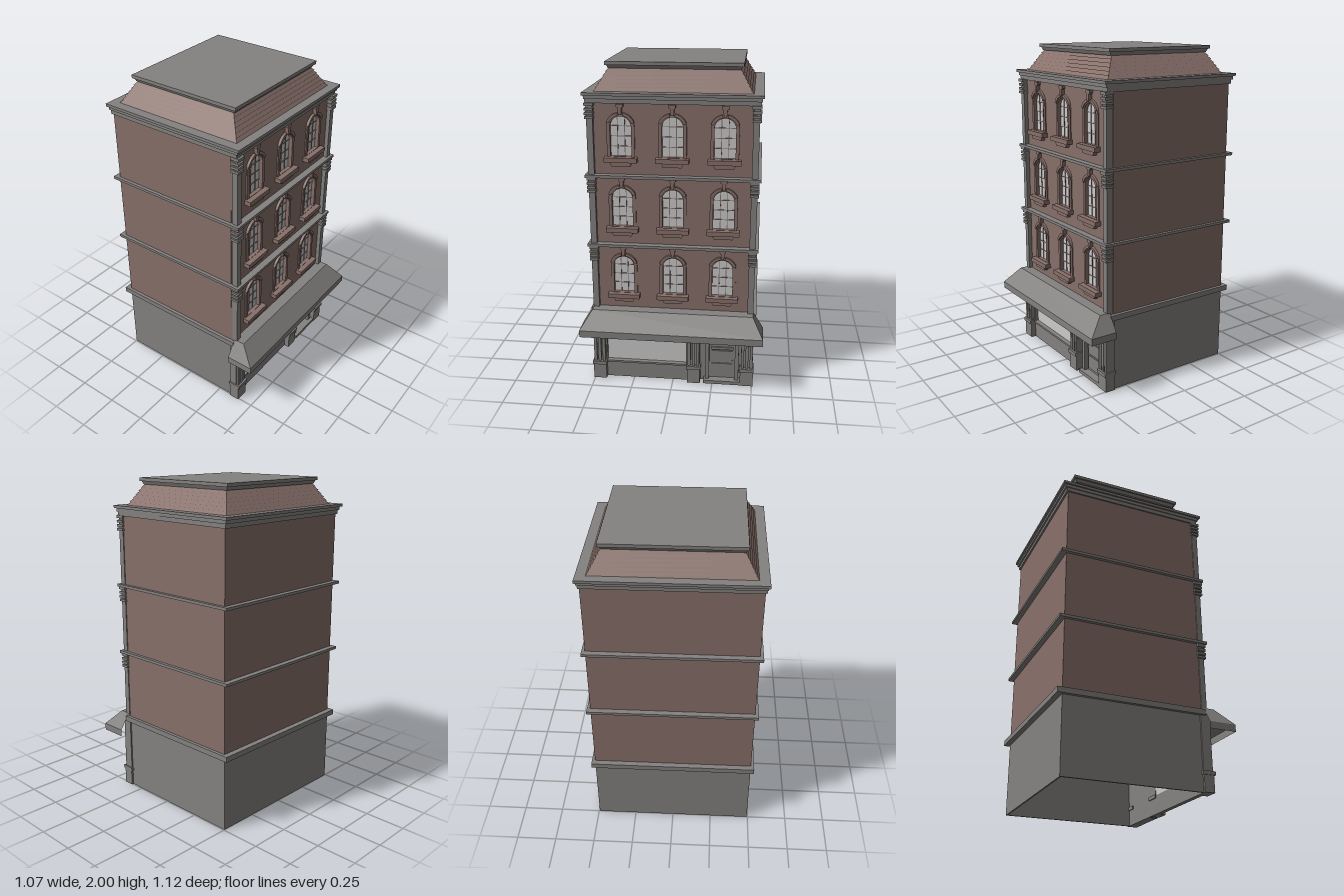
import * as THREE from 'three';

const mat = (color) => new THREE.MeshStandardMaterial({ color, flatShading: true, side: THREE.DoubleSide });
const stone = mat(0x848280), brick = mat(0x88706a), glass = mat(0xcccccc);
const CX = -0.063; // centre of the building in x (the awning reaches further out)

function add(parent, name, geometry, material) {
  const mesh = new THREE.Mesh(geometry, material);
  mesh.name = name;
  parent.add(mesh);
  return mesh;
}

// Box given by its limits on each axis
function box(parent, name, material, x0, x1, y0, y1, z0, z1) {
  const mesh = add(parent, name, new THREE.BoxGeometry(x1 - x0, y1 - y0, z1 - z0), material);
  mesh.position.set((x0 + x1) / 2, (y0 + y1) / 2, (z0 + z1) / 2);
  return mesh;
}

// Box centred on the building whose top is pulled in by an inset
function frustum(parent, name, material, hx, hz, y0, y1, inset = 0) {
  const g = new THREE.BoxGeometry(2 * hx, y1 - y0, 2 * hz);
  const p = g.attributes.position;
  for (let i = 0; i < p.count; i++) {
    if (p.getY(i) > 0) {
      p.setX(i, p.getX(i) - Math.sign(p.getX(i)) * inset);
      p.setZ(i, p.getZ(i) - Math.sign(p.getZ(i)) * inset);
    }
  }
  add(parent, name, g, material).position.set(CX, (y0 + y1) / 2, 0);
}

const polygon = (points) => new THREE.Shape(points.map(([x, y]) => new THREE.Vector2(x, y)));

function extrude(parent, name, material, shape, z0, z1) {
  const g = new THREE.ExtrudeGeometry(shape, { depth: z1 - z0, bevelEnabled: false, curveSegments: 16 });
  const mesh = add(parent, name, g, material);
  mesh.position.z = z0;
  return mesh;
}

// Round-headed opening standing on y0
function arch(Type, u, y0, r, spring) {
  const s = new Type();
  s.moveTo(u - r, y0);
  s.lineTo(u + r, y0);
  s.lineTo(u + r, y0 + spring);
  s.absarc(u, y0 + spring, r, 0, Math.PI, false);
  s.lineTo(u - r, y0);
  return s;
}

// Window parts; local z is the outward direction of the facade
function makeWindow(u, y) {
  const w = new THREE.Group();
  w.name = 'archedWindow';
  w.position.set(u, y, 0);
  const spring = 0.175;
  extrude(w, 'windowPane', glass, arch(THREE.Shape, 0, 0, 0.066, spring), 0.341, 0.346);
  const frame = arch(THREE.Shape, 0, 0, 0.082, spring);
  frame.holes.push(arch(THREE.Path, 0, 0.002, 0.062, spring));
  extrude(w, 'windowFrame', brick, frame, 0.342, 0.37);
  for (const x of [-0.021, 0.021]) box(w, 'glazingBar', brick, x - 0.002, x + 0.002, 0, 0.23, 0.345, 0.35);
  for (const h of [0.06, 0.12, 0.18]) box(w, 'glazingBar', brick, -0.062, 0.062, h - 0.002, h + 0.002, 0.345, 0.35);

  // Hood moulding over the arch, in two arcs beside the keystone
  for (const a of [0.35, Math.PI / 2 + 0.18]) {
    const b = a + Math.PI / 2 - 0.53;
    const hood = new THREE.Shape();
    hood.absarc(0, spring, 0.087, a, b, false);
    hood.absarc(0, spring, 0.07, b, a, true);
    extrude(w, 'hoodMoulding', brick, hood, 0.36, 0.378);
  }
  extrude(w, 'keystone', brick, polygon([[-0.009, 0.25], [0.009, 0.25], [0.012, 0.29], [0.02, 0.295],
    [0.02, 0.312], [-0.02, 0.312], [-0.02, 0.295], [-0.012, 0.29]]), 0.36, 0.385);
  box(w, 'windowSill', brick, -0.097, 0.097, -0.028, 0, 0.35, 0.402);
  extrude(w, 'sillBracket', brick, polygon([[-0.055, -0.053], [0.055, -0.053], [0.066, -0.028], [-0.066, -0.028]]), 0.36, 0.388);
  return w;
}

// Ground floor pier with raised strips and a banded foot
function makePier(u) {
  const g = new THREE.Group();
  g.name = 'shopPier';
  g.position.x = u;
  box(g, 'pierCore', stone, -0.037, 0.037, 0, 0.48, 0.34, 0.385);
  for (const x of [-0.027, 0, 0.027]) box(g, 'pierStrip', stone, x - 0.009, x + 0.009, 0.12, 0.48, 0.38, 0.4);
  box(g, 'pierFoot', stone, -0.041, 0.041, 0, 0.105, 0.34, 0.403);
  box(g, 'pierBand', stone, -0.045, 0.045, 0.1, 0.122, 0.333, 0.412);
  return g;
}

function makeFacade() {
  const f = new THREE.Group();
  f.name = 'facade';
  f.rotation.y = Math.PI / 2; // local z -> +x, local x -> -z

  // Brick front with nine arched openings
  const wall = polygon([[-0.492, 0.47], [0.492, 0.47], [0.492, 1.78], [-0.492, 1.78]]);
  for (const y of [0.595, 1.028, 1.46]) {
    for (const u of [-0.302, 0, 0.302]) {
      wall.holes.push(arch(THREE.Path, u, y, 0.064, 0.175));
      f.add(makeWindow(u, y));
    }
  }
  extrude(f, 'brickFront', brick, wall, 0.34, 0.362);

  // Corner pilasters with banded capitals on each storey
  for (const s of [-1, 1]) {
    const strip = (name, a, b, y0, y1, z0, z1) =>
      box(f, name, stone, Math.min(s * a, s * b), Math.max(s * a, s * b), y0, y1, z0, z1);
    strip('cornerPilaster', 0.46, 0.497, 0.47, 1.78, 0.352, 0.387);
    for (const top of [0.905, 1.337, 1.778]) {
      strip('pilasterCapital', 0.452, 0.506, top - 0.018, top, 0.346, 0.4);
      for (const d of [0.045, 0.07, 0.093]) strip('pilasterBand', 0.455, 0.506, top - d, top - d + 0.015, 0.346, 0.398);
    }
  }

  // Shop window
  for (const u of [-0.467, 0.132, 0.467]) f.add(makePier(u));
  box(f, 'shopWindow', glass, -0.43, 0.095, 0.11, 0.45, 0.343, 0.35);
  box(f, 'stallRiser', stone, -0.43, 0.095, 0, 0.105, 0.34, 0.37);
  box(f, 'shopSill', stone, -0.43, 0.095, 0.105, 0.117, 0.34, 0.38);
  for (const u of [-0.427, 0.088]) box(f, 'shopFrame', stone, u - 0.005, u + 0.005, 0.11, 0.46, 0.343, 0.372);
  box(f, 'shopHeader', stone, -0.49, 0.49, 0.44, 0.49, 0.34, 0.38);

  // Door with three panes and raised panels
  box(f, 'doorLeaf', stone, 0.17, 0.43, 0, 0.45, 0.34, 0.35);
  for (const u of [0.217, 0.403]) box(f, 'doorJamb', stone, u - 0.012, u + 0.012, 0, 0.45, 0.345, 0.378);
  box(f, 'doorStep', stone, 0.195, 0.427, 0, 0.022, 0.34, 0.4);
  for (const u of [0.272, 0.31, 0.348]) box(f, 'doorPane', glass, u - 0.016, u + 0.016, 0.258, 0.4, 0.348, 0.353);
  for (const [a, b] of [[0.04, 0.125], [0.138, 0.215]]) box(f, 'doorPanel', stone, 0.245, 0.375, a, b, 0.348, 0.358);
  box(f, 'doorRail', stone, 0.238, 0.382, 0.224, 0.24, 0.348, 0.36);
  return f;
}

// Hollow hipped awning lofted through three levels
function makeAwning() {
  const levels = [[0.434, 0.495, 0.498], [0.533, 0.56, 0.398], [0.533, 0.56, 0.355]];
  const pos = [], index = [];
  for (const [x, z, y] of levels) pos.push(0.365, y, z, x, y, z, x, y, -z, 0.365, y, -z);
  for (let l = 0; l < 2; l++) {
    for (let k = 0; k < 3; k++) {
      const a = l * 4 + k;
      index.push(a, a + 4, a + 5, a, a + 5, a + 1);
    }
  }
  index.push(0, 1, 2, 0, 2, 3);
  const g = new THREE.BufferGeometry();
  g.setAttribute('position', new THREE.Float32BufferAttribute(pos, 3));
  g.setIndex(index);
  g.computeVertexNormals();
  return g;
}

export function createModel() {
  const model = new THREE.Group();
  model.name = 'townBuilding';

  // Ground floor shell, open underneath
  box(model, 'groundBackWall', stone, -0.5, -0.49, 0, 0.46, -0.495, 0.495);
  for (const s of [-1, 1]) box(model, 'groundSideWall', stone, -0.495, 0.345, 0, 0.46, s * 0.49 - 0.005, s * 0.49 + 0.005);

  // Brick storeys
  box(model, 'brickBody', brick, -0.5, 0.341, 0.47, 1.78, -0.495, 0.495);

  // Ring belt above the ground floor
  const ring = polygon([[-0.534, -0.515], [0.37, -0.515], [0.37, 0.515], [-0.534, 0.515]]);
  ring.holes.push(new THREE.Path(polygon([[-0.46, -0.455], [0.3, -0.455], [0.3, 0.455], [-0.46, 0.455]]).getPoints()));
  const belt = extrude(model, 'groundBelt', stone, ring, 0, 0.033);
  belt.rotation.x = -Math.PI / 2;
  belt.position.y = 0.45;

  // Storey belts
  for (const y of [0.905, 1.337]) box(model, 'storeyBelt', stone, -0.534, 0.404, y, y + 0.017, -0.515, 0.515);

  // Stepped cornice
  frustum(model, 'corniceLower', stone, 0.448, 0.503, 1.775, 1.8);
  frustum(model, 'corniceMiddle', stone, 0.458, 0.508, 1.8, 1.82);
  frustum(model, 'corniceTop', stone, 0.471, 0.517, 1.82, 1.837);

  // Roof of overlapping courses under a flat slab
  for (let i = 0; i < 6; i++) {
    const y = 1.836 + i * 0.021;
    frustum(model, 'roofCourse', brick, 0.417 - i * 0.0125, 0.46 - i * 0.0125, y, y + 0.0215, 0.02);
  }
  frustum(model, 'roofMoulding', stone, 0.345, 0.382, 1.96, 1.982, -0.01);
  frustum(model, 'roofSlab', stone, 0.363, 0.399, 1.98, 2);

  add(model, 'awning', makeAwning(), stone);
  model.add(makeFacade());
  return model;
}
